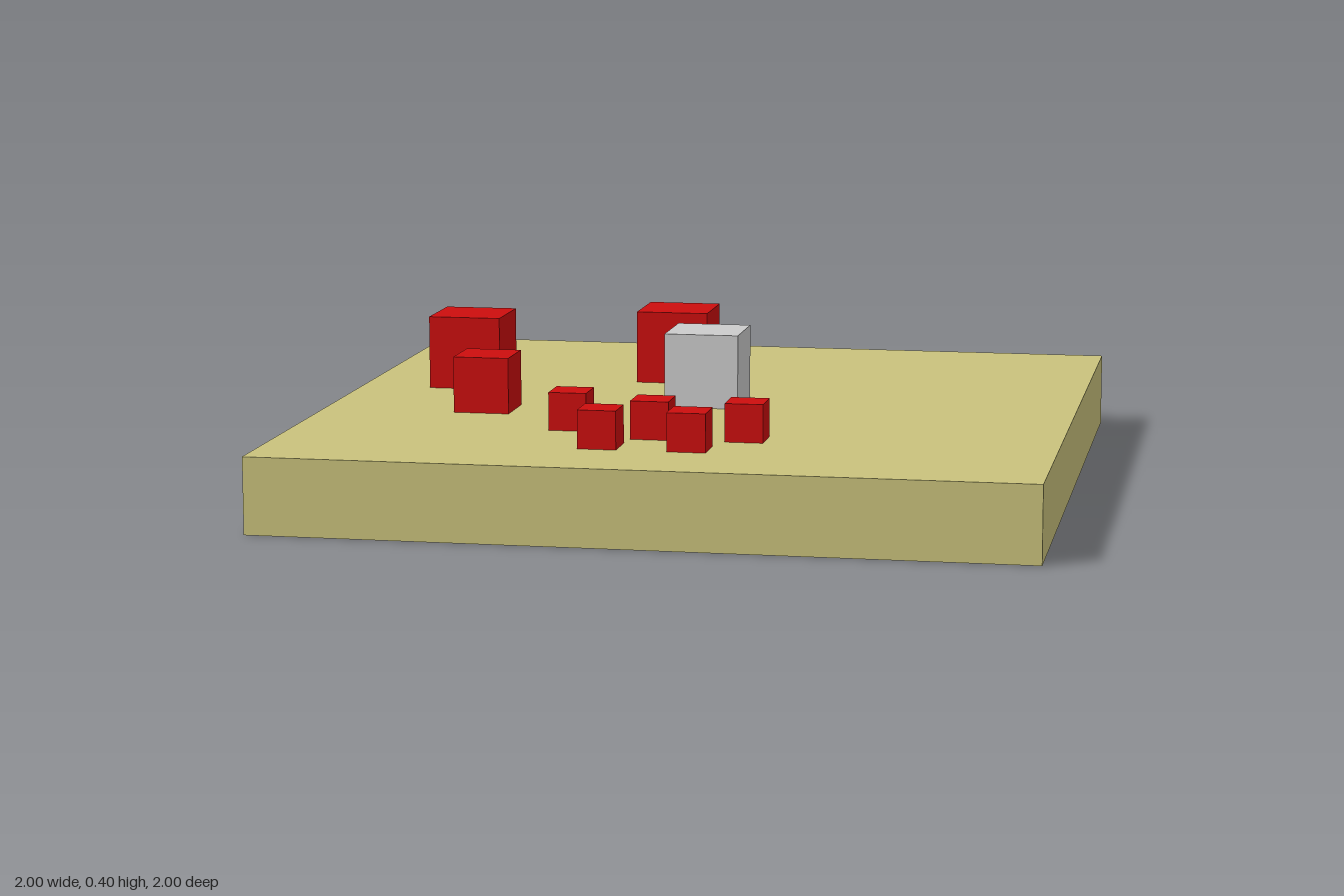
import * as THREE from 'three';

const BASE_HEIGHT = 0.2;

export function createModel() {
  const group = new THREE.Group();
  const sand = new THREE.MeshStandardMaterial({ color: 0xc9c27c });
  const red = new THREE.MeshStandardMaterial({ color: 0xcc0e0e });
  const grey = new THREE.MeshStandardMaterial({ color: 0xcccccc });

  // Square slab everything rests on
  const base = new THREE.Mesh(new THREE.BoxGeometry(2, BASE_HEIGHT, 2), sand);
  base.name = 'base';
  base.position.y = BASE_HEIGHT / 2;
  group.add(base);

  // A cube standing on the slab
  function addCube(name, size, x, z, material) {
    const cube = new THREE.Mesh(new THREE.BoxGeometry(size, size, size), material);
    cube.name = name;
    cube.position.set(x, BASE_HEIGHT + size / 2, z);
    group.add(cube);
  }

  // Grey cube in the centre
  addCube('centreCube', 0.2, 0, 0, grey);

  // Red cubes: size and the x, z positions of each
  const redCubes = [
    ['largeCube', 0.2, [[-0.155, -0.39], [-0.705, -0.195]]],
    ['mediumCube', 0.15, [[-0.565, 0.205]]],
    ['smallCube', 0.1, [[-0.28, 0.45], [-0.045, 0.54], [0.2, 0.535], [-0.15, 0.695], [0.08, 0.695]]],
  ];
  for (const [name, size, spots] of redCubes) {
    spots.forEach(([x, z], i) => addCube(name + (i + 1), size, x, z, red));
  }

  return group;
}
